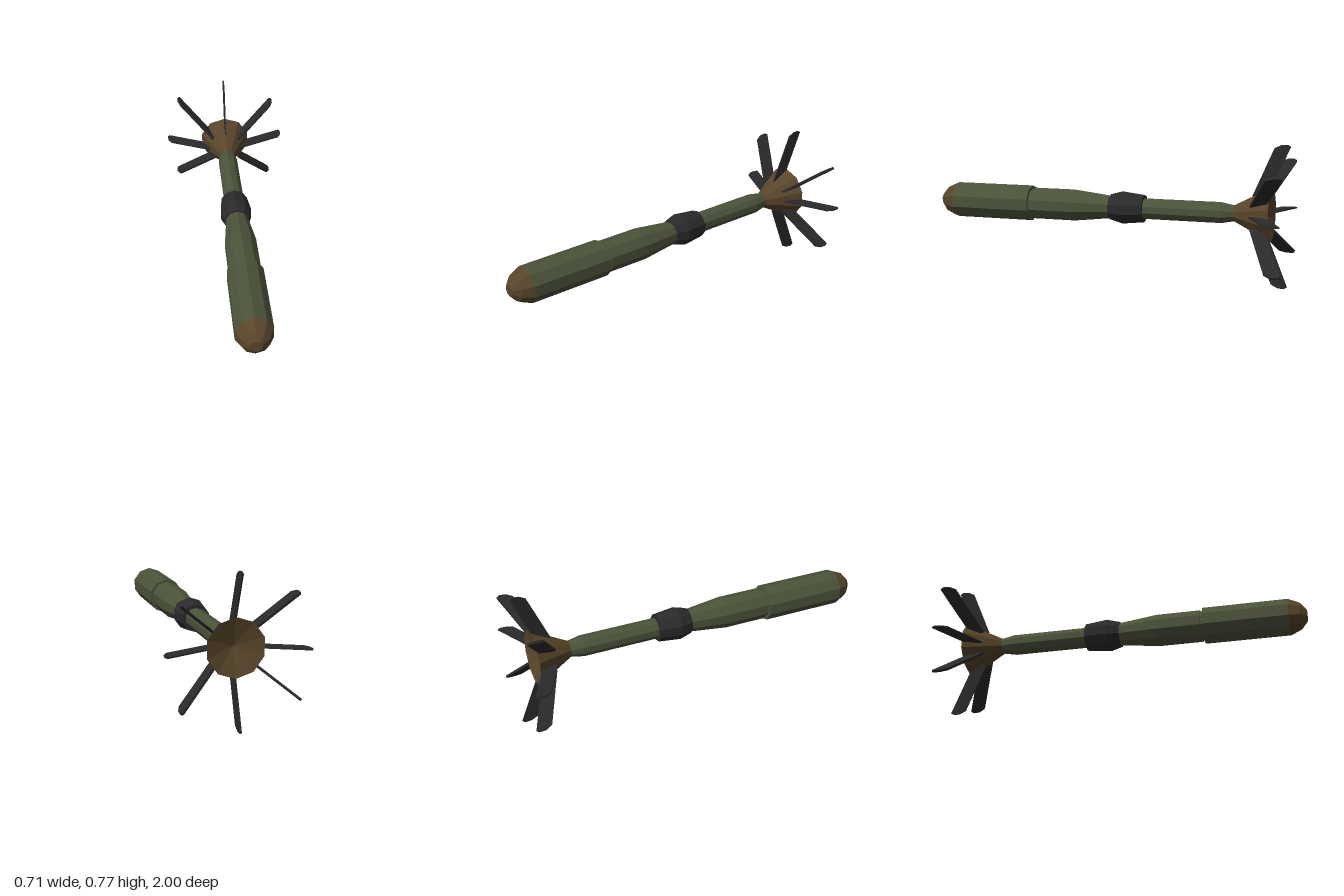
import * as THREE from 'three';

const AXIS_X = -0.003, AXIS_Y = 0.393, SIDES = 10;

function flat(color, name) {
  const m = new THREE.MeshStandardMaterial({ color });
  m.flatShading = true;
  m.name = name;
  return m;
}

export function createModel() {
  const green = flat(0x4b533a, 'olive green');
  const brown = flat(0x58452a, 'bronze brown');
  const black = flat(0x2a2a2c, 'dark grey');
  const group = new THREE.Group();

  // Faceted body of revolution along z; profile is [radius, z] from back to front
  function turned(name, material, profile) {
    const pts = profile.map(([r, z]) => new THREE.Vector2(r, z));
    const geo = new THREE.LatheGeometry(pts, SIDES).rotateX(Math.PI / 2);
    const mesh = new THREE.Mesh(geo, material);
    mesh.name = name;
    mesh.position.set(AXIS_X, AXIS_Y, 0);
    group.add(mesh);
  }

  turned('noseCap', brown, [[0, 0.905], [0.1, 0.905], [0.073, 0.965], [0.032, 1], [0, 1]]);
  turned('frontBody', green, [
    [0, -0.025], [0.063, -0.025], [0.088, 0.19], [0.088, 0.43],
    [0.081, 0.43], [0.081, 0.445], [0.1, 0.445], [0.1, 0.905], [0, 0.905],
  ]);
  turned('collar', black, [
    [0, -0.215], [0.076, -0.215], [0.09, -0.09], [0.071, -0.022], [0, -0.022],
  ]);
  turned('rearTube', green, [
    [0, -0.715], [0.043, -0.715], [0.057, -0.64], [0.057, -0.21], [0, -0.21],
  ]);
  // Flared tail with a shallow hollow at the back
  turned('tailCone', brown, [[0, -0.86], [0.148, -0.91], [0.043, -0.71], [0, -0.71]]);

  // Swept fins: [base x, base y, tip x, tip y, thickness]
  const fins = [
    [-0.003, 0.488, -0.003, 0.766, 0.007],
    [-0.003, 0.295, -0.003, 0, 0.007],
    [0.095, 0.391, 0.356, 0.39, 0.007],
    [-0.1, 0.385, -0.357, 0.385, 0.007],
    [0.074, 0.446, 0.294, 0.627, 0.013],
    [-0.08, 0.457, -0.285, 0.661, 0.013],
    [-0.076, 0.326, -0.303, 0.141, 0.013],
    [0.074, 0.325, 0.284, 0.117, 0.013],
  ];
  const zAxis = new THREE.Vector3(0, 0, 1);
  fins.forEach(([bx, by, tx, ty, thick], i) => {
    const dir = new THREE.Vector3(tx - bx, ty - by, 0);
    const len = dir.length();
    dir.normalize();
    // Outline in (outward distance, z), with a clipped tip
    const shape = new THREE.Shape([
      [0, -0.805], [len - 0.02, -0.915], [len - 0.002, -0.95],
      [len, -0.985], [len - 0.01, -1], [0, -0.885],
    ].map(([s, z]) => new THREE.Vector2(s, z)));
    const geo = new THREE.ExtrudeGeometry(shape, { depth: thick, bevelEnabled: false });
    geo.translate(0, 0, -thick / 2);
    const side = new THREE.Vector3().crossVectors(dir, zAxis);
    geo.applyMatrix4(new THREE.Matrix4().makeBasis(dir, zAxis, side).setPosition(bx, by, 0));
    const fin = new THREE.Mesh(geo, black);
    fin.name = 'tailFin' + (i + 1);
    group.add(fin);
  });

  return group;
}
